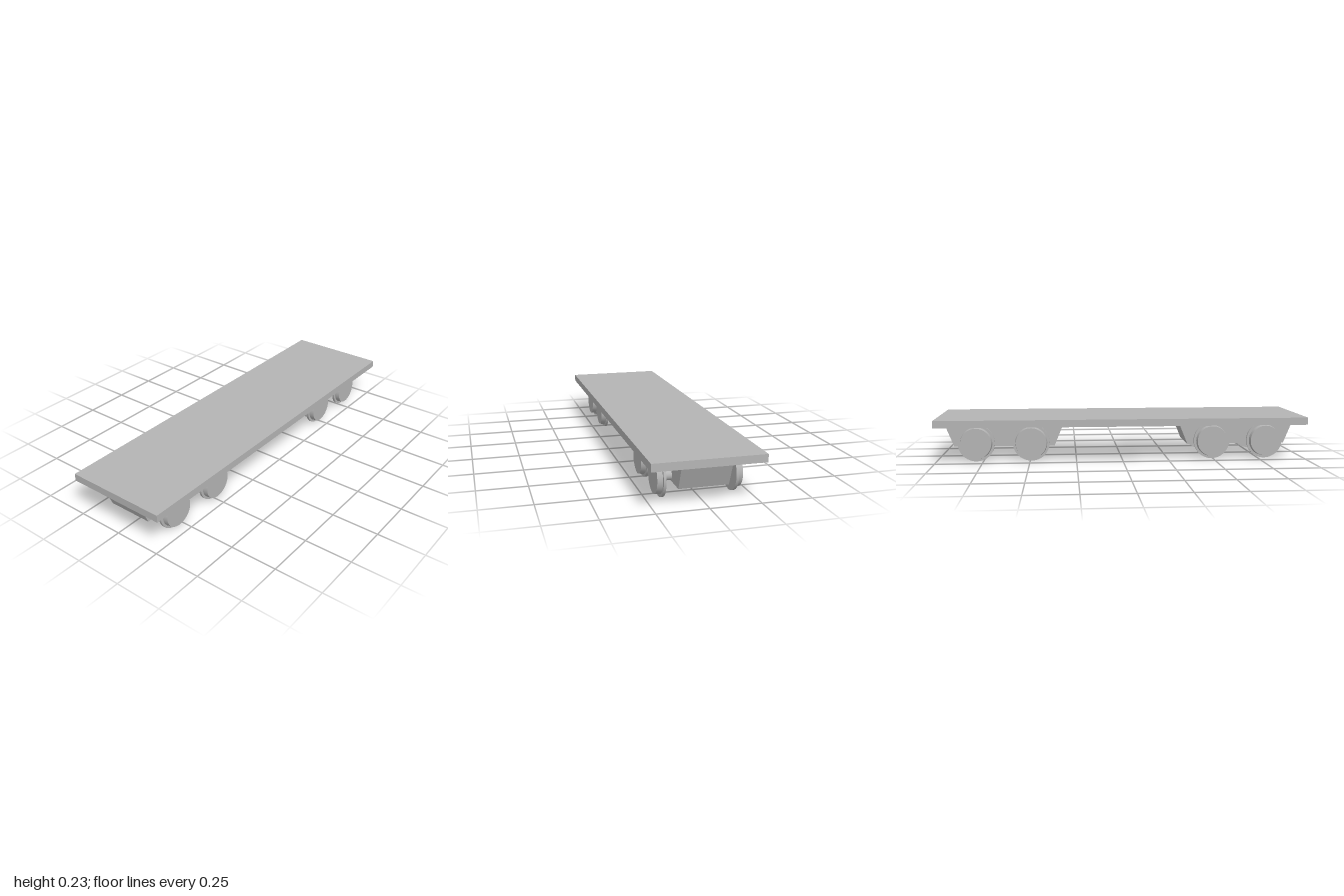
import * as THREE from 'three';

const DECK_BOTTOM = 0.193;
const WHEEL_Y = 0.099;

// Cylinder along x, from x0 to x1 with a radius at each end
function rod(name, x0, x1, r0, r1, material) {
  const geometry = new THREE.CylinderGeometry(r1, r0, x1 - x0, 48);
  geometry.rotateZ(-Math.PI / 2);
  geometry.translate((x0 + x1) / 2, 0, 0);
  const mesh = new THREE.Mesh(geometry, material);
  mesh.name = name;
  return mesh;
}

// Flanged wheel with a slightly conical tread, facing +x
function createWheel(material) {
  const wheel = new THREE.Group();
  wheel.name = 'wheel';
  wheel.add(
    rod('flange', 0.168, 0.181, 0.099, 0.099, material),
    rod('tread', 0.18, 0.207, 0.086, 0.082, material)
  );
  return wheel;
}

function createWheelset(material) {
  const wheelset = new THREE.Group();
  wheelset.name = 'wheelset';
  const right = createWheel(material);
  right.rotation.y = Math.PI;
  wheelset.add(createWheel(material), right, rod('axle', -0.17, 0.17, 0.025, 0.025, material));
  return wheelset;
}

function createBogie(material) {
  const bogie = new THREE.Group();
  bogie.name = 'bogie';

  // Tapered frame: a trapezoid extruded across the wagon
  const profile = new THREE.Shape([
    new THREE.Vector2(-0.272, 0.072),
    new THREE.Vector2(0.272, 0.072),
    new THREE.Vector2(0.321, DECK_BOTTOM),
    new THREE.Vector2(-0.321, DECK_BOTTOM),
  ]);
  const geometry = new THREE.ExtrudeGeometry(profile, { depth: 0.242, bevelEnabled: false });
  geometry.translate(0, 0, -0.121);
  geometry.rotateY(Math.PI / 2);
  const frame = new THREE.Mesh(geometry, material);
  frame.name = 'bogieFrame';
  bogie.add(frame);

  for (const z of [-0.147, 0.147]) {
    const wheelset = createWheelset(material);
    wheelset.position.set(0, WHEEL_Y, z);
    bogie.add(wheelset);
  }
  return bogie;
}

export function createModel() {
  const model = new THREE.Group();
  model.name = 'flatWagon';
  const grey = new THREE.MeshStandardMaterial({ color: 0xb4b4b4 });
  grey.name = 'grey';

  // Flat loading deck
  const deck = new THREE.Mesh(new THREE.BoxGeometry(0.544, 0.039, 2), grey);
  deck.name = 'deck';
  deck.position.y = DECK_BOTTOM + 0.0195;
  model.add(deck);

  // Front and back bogies
  for (const z of [0.64, -0.64]) {
    const bogie = createBogie(grey);
    bogie.position.z = z;
    model.add(bogie);
  }
  return model;
}
